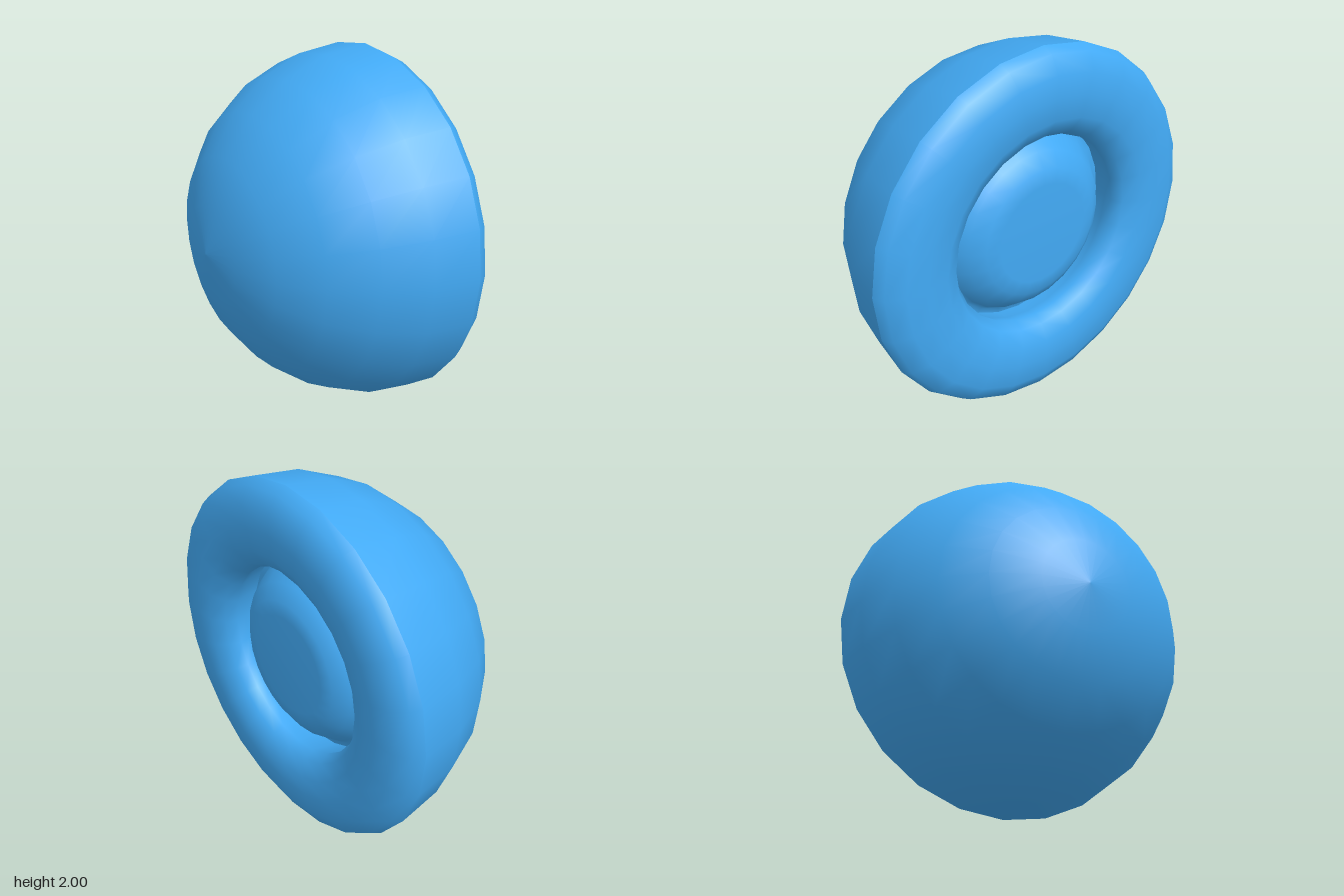
import * as THREE from 'three';

const SEGMENTS = 24;
const RIM = 0.445; // axial position of the widest circle

export function createModel() {
  const group = new THREE.Group();
  group.name = 'domedCap';
  const material = new THREE.MeshStandardMaterial({ color: 0x42aaf5 });

  // Turns a [radius, axial position] profile around the x axis.
  const turned = (name, profile) => {
    const points = profile.map(([r, x]) => new THREE.Vector2(r, x));
    const geometry = new THREE.LatheGeometry(points, SEGMENTS);
    geometry.rotateZ(-Math.PI / 2);
    const mesh = new THREE.Mesh(geometry, material);
    mesh.name = name;
    mesh.position.y = 1;
    group.add(mesh);
  };

  // Hemispherical shell, from its pole to the rim in 15 degree steps
  const dome = [];
  for (let i = 0; i <= 6; i++) {
    const a = (i * Math.PI) / 12;
    dome.push([Math.sin(a), RIM - Math.cos(a)]);
  }
  turned('dome', dome);

  // Flattened round ring that rolls over into the central recess
  turned('rimRing', [
    [1, RIM], [0.97, 0.503], [0.88, 0.552], [0.765, 0.555], [0.65, 0.552],
    [0.565, 0.503], [0.53, RIM], [0.55, 0.38], [0.56, 0.3],
  ]);

  // Raised button with a rounded edge, set inside the ring
  turned('centreButton', [
    [0.58, 0.3], [0.53, 0.3], [0.5, 0.35], [0.44, 0.425],
    [0.36, 0.477], [0.28, 0.49], [0, 0.49],
  ]);

  return group;
}
